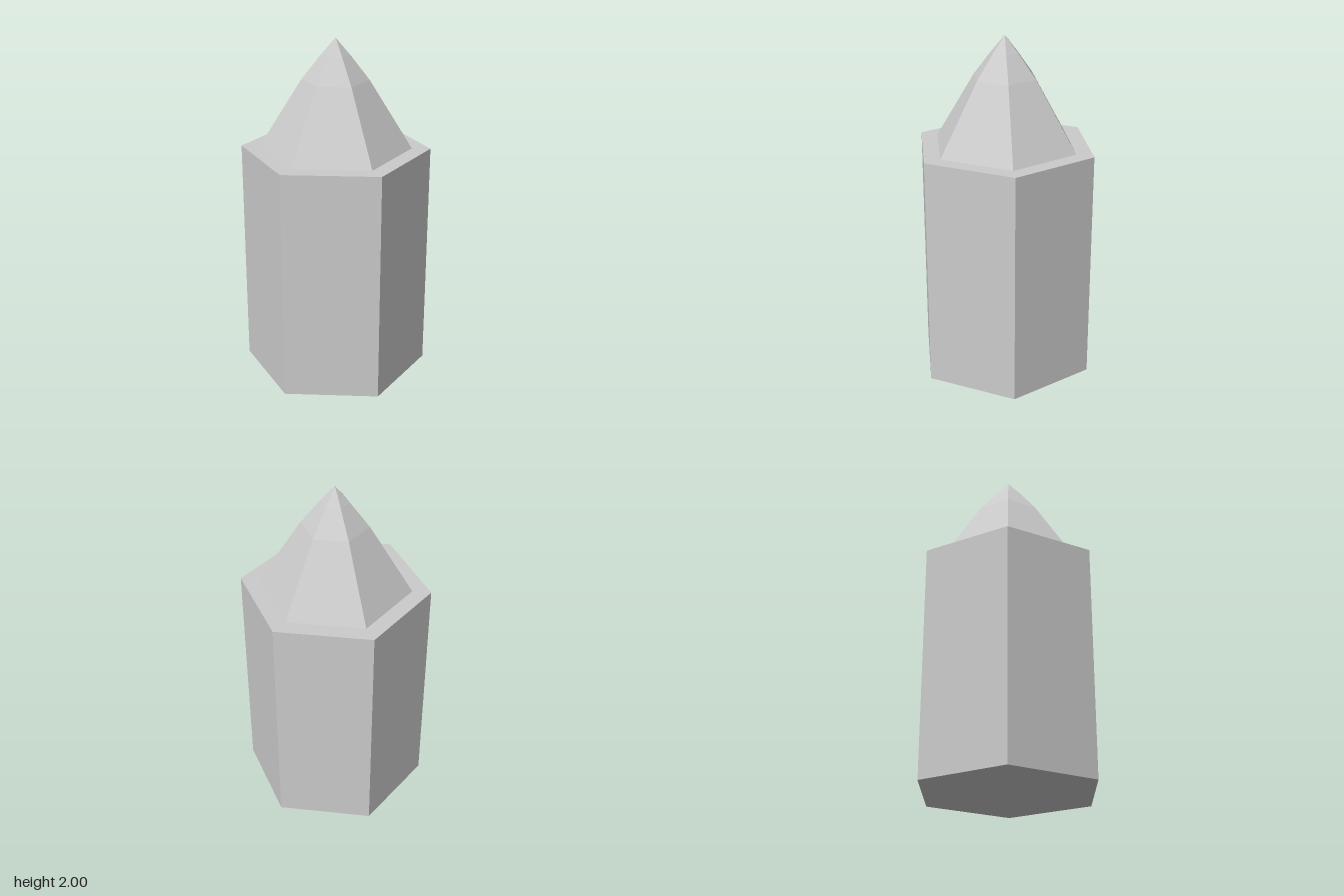
import * as THREE from 'three';

const SIDES = 6;
const SHOULDER = 1.365; // height where the body ends and the tip begins

export function createModel() {
  const group = new THREE.Group();
  group.name = 'hexagonalCrystal';
  const material = new THREE.MeshStandardMaterial({ color: 0xcccccc, flatShading: true });

  // Hexagonal prism with corners at front and back
  const body = new THREE.Mesh(new THREE.CylinderGeometry(0.543, 0.543, SHOULDER, SIDES), material);
  body.name = 'body';
  body.position.y = SHOULDER / 2;
  group.add(body);

  // Slightly flared six-sided point, set in from the body's edge
  const profile = [[0.437, SHOULDER], [0.19, 1.765], [0.08, 1.906], [0, 2]]
    .map(([r, y]) => new THREE.Vector2(r, y));
  const tip = new THREE.Mesh(new THREE.LatheGeometry(profile, SIDES), material);
  tip.name = 'tip';
  group.add(tip);

  return group;
}
